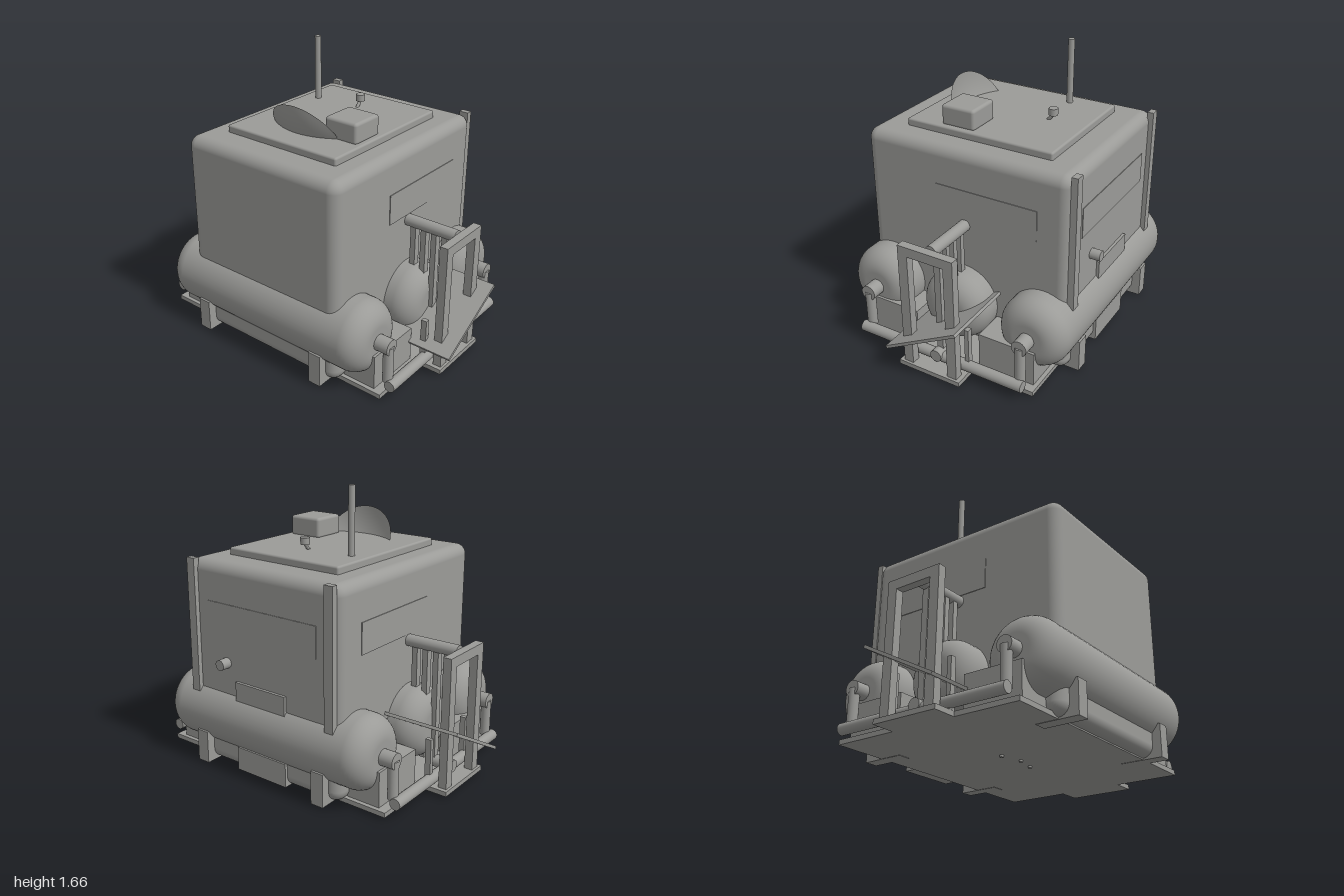
import * as THREE from 'three';
import { RoundedBoxGeometry } from 'three/addons/geometries/RoundedBoxGeometry.js';

export function createModel() {
  const root = new THREE.Group();
  root.name = 'storageModule';
  const grey = new THREE.MeshStandardMaterial({ color: 0x9b9b98, side: THREE.DoubleSide });
  grey.name = 'plainGrey';

  const add = (name, geometry, parent = root) => {
    const mesh = new THREE.Mesh(geometry, grey);
    mesh.name = name;
    parent.add(mesh);
    return mesh;
  };
  // Box given by its limits on each axis, optionally rounded
  const box = (name, x, y, z, radius = 0, parent = root) => {
    const size = [x[1] - x[0], y[1] - y[0], z[1] - z[0]];
    const g = radius ? new RoundedBoxGeometry(...size, 5, radius) : new THREE.BoxGeometry(...size);
    const mesh = add(name, g, parent);
    mesh.position.set((x[0] + x[1]) / 2, (y[0] + y[1]) / 2, (z[0] + z[1]) / 2);
    return mesh;
  };
  // Round bar between two points
  const bar = (name, from, to, radius, parent = root) => {
    const a = new THREE.Vector3(...from), b = new THREE.Vector3(...to);
    const dir = b.clone().sub(a);
    const mesh = add(name, new THREE.CylinderGeometry(radius, radius, dir.length(), 24), parent);
    mesh.position.copy(a).add(b).multiplyScalar(0.5);
    mesh.quaternion.setFromUnitVectors(new THREE.Vector3(0, 1, 0), dir.normalize());
    return mesh;
  };

  // Main cabin and roof plate
  box('cabin', [-0.54, 0.54], [0.02, 1.23], [-0.65, 0.65], 0.065);
  box('roofPlate', [-0.39, 0.39], [1.215, 1.273], [-0.465, 0.465], 0.012);

  // Base plate with side extensions
  box('basePlate', [-0.79, 0.79], [0.012, 0.04], [-0.585, 0.585]);
  for (const [x, z] of [[-0.14, 0], [0.0, 0.03], [0.13, 0]]) {
    bar('baseStud', [x, 0, z], [x, 0.015, z], 0.012);
  }

  // Three tanks lying across the module, with filleted ends
  const r = 0.213, half = 0.72, fillet = 0.125;
  const profile = [new THREE.Vector2(0, -half)];
  for (const s of [-1, 1]) {
    for (let i = 0; i <= 10; i++) {
      const t = (s < 0 ? i / 10 : 1 - i / 10) * Math.PI / 2;
      profile.push(new THREE.Vector2(
        r - fillet + fillet * Math.sin(t),
        s * (half - fillet + fillet * Math.cos(t))));
    }
  }
  profile.push(new THREE.Vector2(0, half));
  for (const z of [-0.505, 0, 0.505]) {
    const tank = add('tank', new THREE.LatheGeometry(profile, 48));
    tank.rotation.z = Math.PI / 2;
    tank.position.set(0, 0.31, z);
  }

  // Tank feet, front and rear
  for (const sx of [-1, 1]) {
    const x = [sx * 0.43 - 0.04, sx * 0.43 + 0.04];
    box('frontFoot', x, [0.01, 0.205], [0.45, 0.703]);
    box('rearFoot', x, [0.01, 0.205], [-0.703, -0.45]);
    // Upright at each rear corner
    box('rearUpright', [sx * 0.49 - 0.028, sx * 0.49 + 0.028], [0.44, 1.235], [-0.678, -0.64]);
  }

  // Rear wall details
  box('rearPanel', [-0.39, 0.39], [0.82, 1.0], [-0.654, -0.64]);
  box('rearPlate', [-0.18, 0.18], [0.42, 0.56], [-0.667, -0.64]);
  box('rearSkirt', [-0.18, 0.18], [0.02, 0.16], [-0.667, -0.6]);
  bar('rearPort', [0.255, 0.655, -0.63], [0.255, 0.655, -0.712], 0.031);

  // Roof equipment
  bar('antenna', [-0.29, 1.26, -0.215], [-0.29, 1.66, -0.215], 0.019);
  bar('sensorStem', [0, 1.265, -0.225], [0, 1.315, -0.265], 0.01);
  bar('sensorHead', [0, 1.305, -0.26], [0, 1.345, -0.26], 0.027);
  box('roofBox', [0.145, 0.358], [1.265, 1.388], [0.04, 0.252], 0.018);

  // Dish: a shallow bowl tilted backwards, sunk into the roof
  const bowl = [];
  for (let i = 0; i <= 12; i++) {
    const q = i / 12;
    bowl.push(new THREE.Vector2(0.237 * q, 0.075 * (q * q - 1)));
  }
  const dish = add('dish', new THREE.LatheGeometry(bowl, 48));
  dish.position.set(0, 1.24, 0.222);
  dish.rotation.x = -1.0;

  // Side equipment, the same on both sides
  for (const s of [-1, 1]) {
    const side = new THREE.Group();
    side.name = s > 0 ? 'leftSide' : 'rightSide';
    root.add(side);
    const sbox = (name, x, y, z) => box(name, s > 0 ? x : [-x[1], -x[0]], y, z, 0, side);
    const sbar = (name, a, b, radius) =>
      bar(name, [s * a[0], a[1], a[2]], [s * b[0], b[1], b[2]], radius, side);

    sbox('sidePanel', [0.53, 0.544], [0.82, 1.0], [-0.46, 0.18]);
    sbox('baseExtension', [0.78, 0.93], [0.012, 0.04], [-0.2, 0.2]);

    // Lower pipe with risers to the tank valves
    sbar('lowerPipe', [0.82, 0.08, -0.54], [0.82, 0.08, 0.54], 0.033);
    sbar('pipeBranch', [0.7, 0.095, 0], [0.86, 0.095, 0], 0.036);
    for (const z of [-0.505, 0.505]) {
      sbar('valve', [0.7, 0.31, z], [0.805, 0.31, z], 0.046);
      sbar('riser', [0.785, 0.09, z], [0.785, 0.31, z], 0.03);
    }

    // Blocks between the tanks and slim posts beside the step
    for (const d of [-1, 1]) {
      sbox('tankCradle', [0.53, 0.735], [0.04, 0.245], d > 0 ? [0.21, 0.56] : [-0.56, -0.21]);
      sbox('slimPost', [0.79, 0.825], [0.04, 0.32], [d * 0.188 - 0.013, d * 0.188 + 0.013]);
      sbox('gatePost', [0.865, 0.915], [0.04, 0.8], [d * 0.145 - 0.03, d * 0.145 + 0.03]);
    }
    sbox('gateTop', [0.865, 0.915], [0.742, 0.8], [-0.175, 0.175]);

    // Handrail with balusters
    sbar('handrail', [0.52, 0.785, -0.005], [0.865, 0.785, -0.005], 0.035);
    for (let i = 0; i < 4; i++) {
      const x = 0.592 + i * 0.068;
      sbox('baluster', [x - 0.017, x + 0.017], [0.1, 0.77], [-0.022, 0.018]);
    }

    // Sloping side platform
    const ramp = sbox('slopingPlatform', [0.54, 1.0], [0.279, 0.297], [-0.265, 0.265]);
    ramp.rotation.x = 0.5;
  }
  return root;
}
